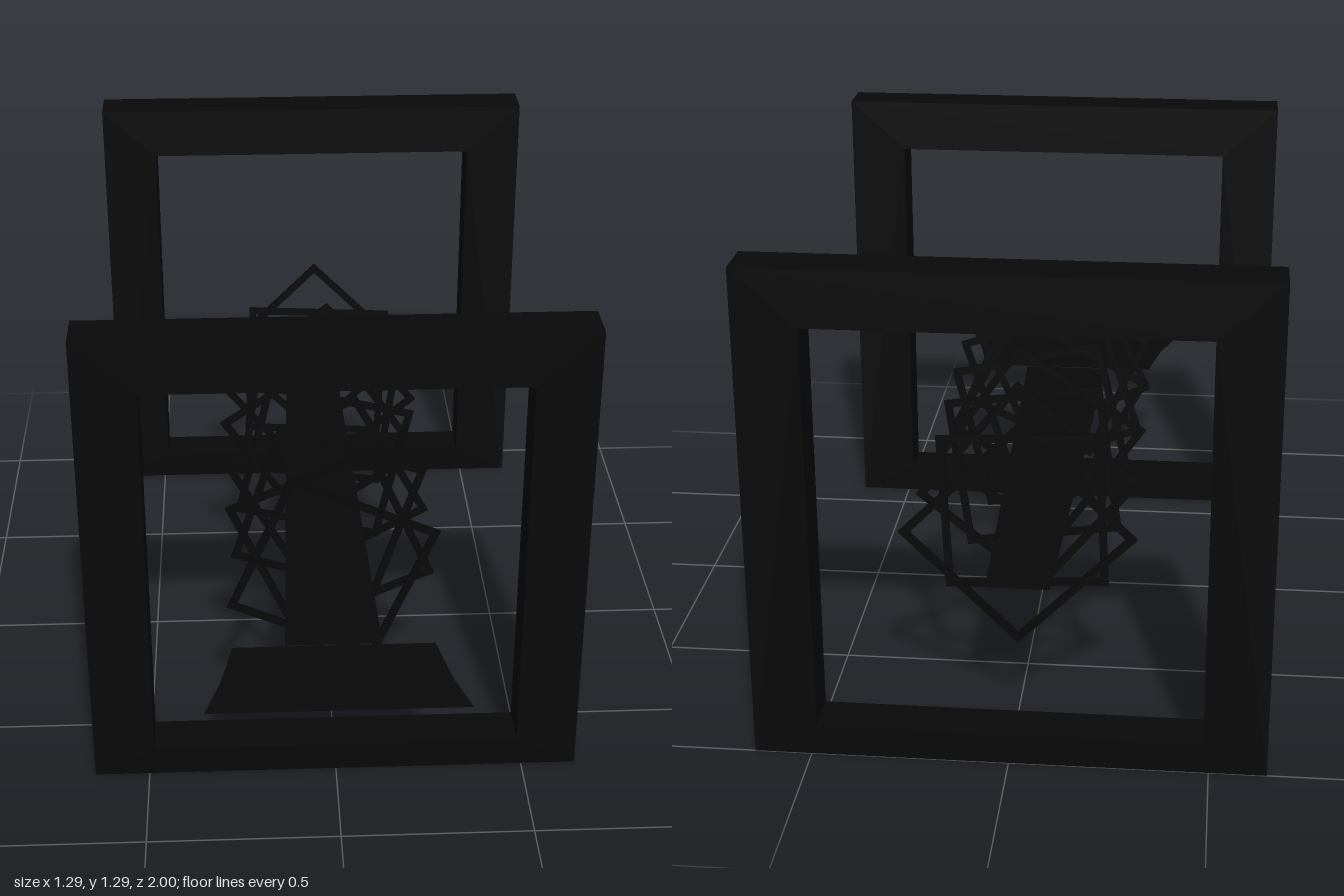
import * as THREE from 'three';

const material = new THREE.MeshStandardMaterial({ color: 0x080808 });
const thinMaterial = new THREE.MeshStandardMaterial({ color: 0x080808, side: THREE.DoubleSide });

function polygon(points, PathType = THREE.Shape) {
  return new PathType(points.map(([x, y]) => new THREE.Vector2(x, y)));
}

function rectangle(x0, y0, x1, y1, PathType) {
  return polygon([[x0, y0], [x1, y0], [x1, y1], [x0, y1]], PathType);
}

// Outline with a hole, extruded along z
function extrudedFrame(outer, hole, depth, name) {
  outer.holes.push(hole);
  const geometry = new THREE.ExtrudeGeometry(outer, { depth, bevelEnabled: false });
  const mesh = new THREE.Mesh(geometry, material);
  mesh.name = name;
  return mesh;
}

// Flat horizontal sheet from [z, halfWidth] stations
function sheet(stations, name) {
  const left = stations.map(([z, w]) => [w, -z]);
  const right = stations.map(([z, w]) => [-w, -z]).reverse();
  const geometry = new THREE.ShapeGeometry(polygon([...left, ...right]));
  geometry.rotateX(-Math.PI / 2);
  const mesh = new THREE.Mesh(geometry, thinMaterial);
  mesh.position.set(-0.006, 0.4, 0);
  mesh.name = name;
  return mesh;
}

export function createModel() {
  const model = new THREE.Group();

  // Two large upright frames at the ends, with a thinner lower bar
  for (const [name, z] of [['frontFrame', 0.6], ['backFrame', -1]]) {
    const frame = extrudedFrame(
      rectangle(-0.645, 0, 0.645, 1.29),
      rectangle(-0.485, 0.08, 0.485, 1.145, THREE.Path), 0.12, name);
    frame.position.z = z;
    model.add(frame);
  }

  // Row of thin square rings, each turned a little past the previous one
  const rings = new THREE.Group();
  rings.name = 'twistingRings';
  const outer = 0.215, inner = 0.195, depth = 0.01;
  for (let i = 0; i < 10; i++) {
    const ring = extrudedFrame(
      rectangle(-outer, -outer, outer, outer),
      rectangle(-inner, -inner, inner, inner, THREE.Path), depth, 'squareRing');
    ring.position.set(0, 0.517, 0.537 - 0.1444 * i - depth / 2);
    ring.rotation.z = THREE.MathUtils.degToRad(21.4 + 47.6 * i - 45);
    rings.add(ring);
  }
  model.add(rings);

  // Tapering walkway through the rings and its flared entrance
  model.add(sheet([[-0.825, 0.082], [0.714, 0.127]], 'walkway'));
  model.add(sheet([[0.719, 0.265], [0.8, 0.28], [0.88, 0.297], [1, 0.335]], 'flaredEntrance'));

  return model;
}
